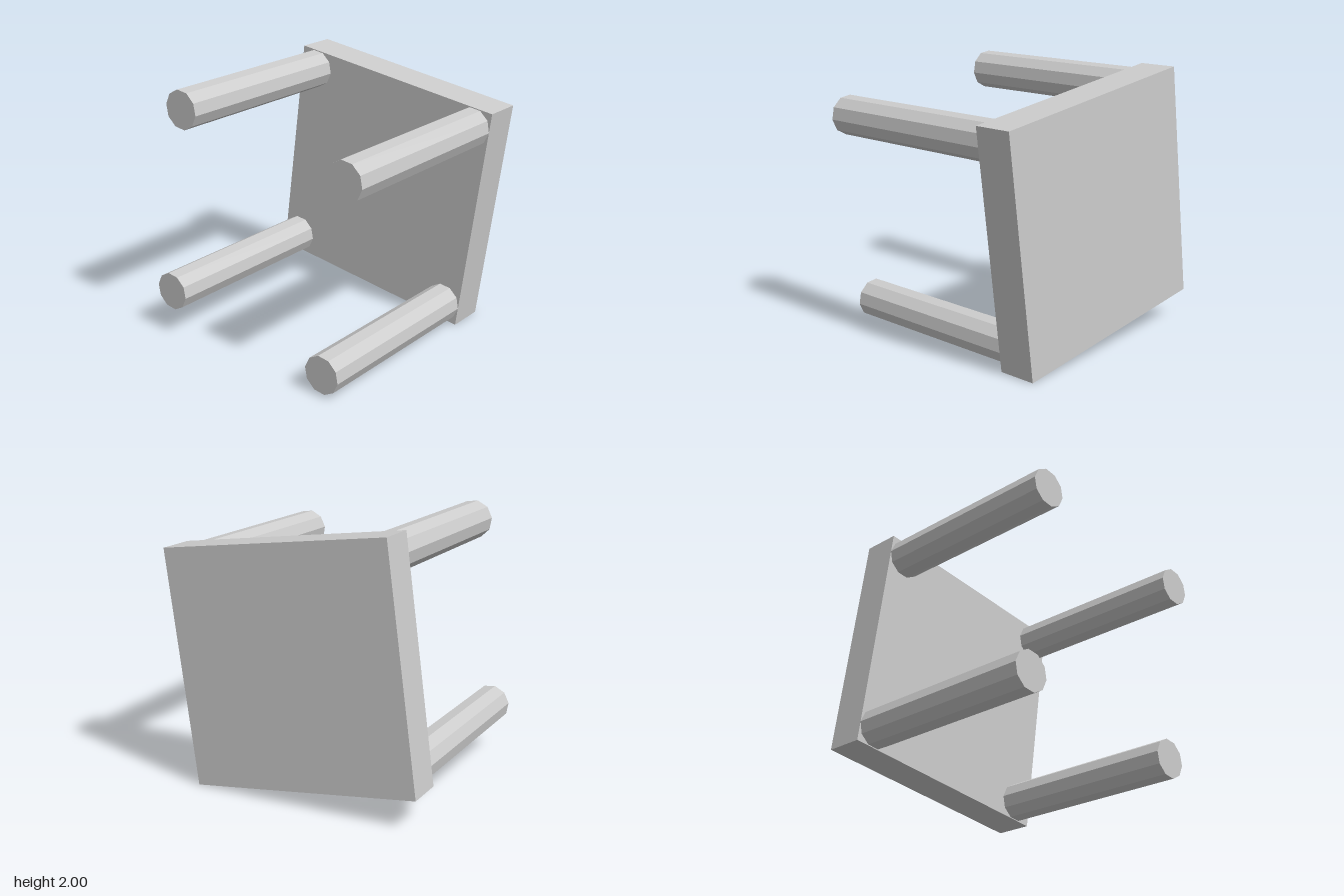
import * as THREE from 'three';

const SIDE = 1.777;      // square table top
const THICK = 0.29;
const FRONT = 0.89;      // leg ends at +z, outer face of the top at -z
const LEG_R = 0.147;
const LEG_LENGTH = 2 * FRONT - THICK;
const LEG_OFFSET = SIDE / 2 - LEG_R;

export function createModel() {
  const grey = new THREE.MeshStandardMaterial({ color: 0xcccccc, flatShading: true });
  grey.name = 'light grey';

  // A table lying on its side, turned slightly about z
  const table = new THREE.Group();
  table.name = 'table';
  table.position.y = 1.0;
  table.rotation.z = -0.132;

  // Table top
  const top = new THREE.Mesh(new THREE.BoxGeometry(SIDE, SIDE, THICK), grey);
  top.name = 'tableTop';
  top.position.z = -FRONT + THICK / 2;
  table.add(top);

  // Ten-sided legs, pointing forwards from each corner
  const legGeometry = new THREE.CylinderGeometry(LEG_R, LEG_R, LEG_LENGTH, 10)
    .rotateY(Math.PI / 2)
    .rotateX(Math.PI / 2);
  for (const [sx, xName] of [[1, 'Left'], [-1, 'Right']]) {
    for (const [sy, yName] of [[1, 'upper'], [-1, 'lower']]) {
      const leg = new THREE.Mesh(legGeometry, grey);
      leg.name = `${yName}${xName}Leg`;
      leg.position.set(sx * LEG_OFFSET, sy * LEG_OFFSET, FRONT - LEG_LENGTH / 2);
      table.add(leg);
    }
  }

  const model = new THREE.Group();
  model.name = 'model';
  model.add(table);
  return model;
}
